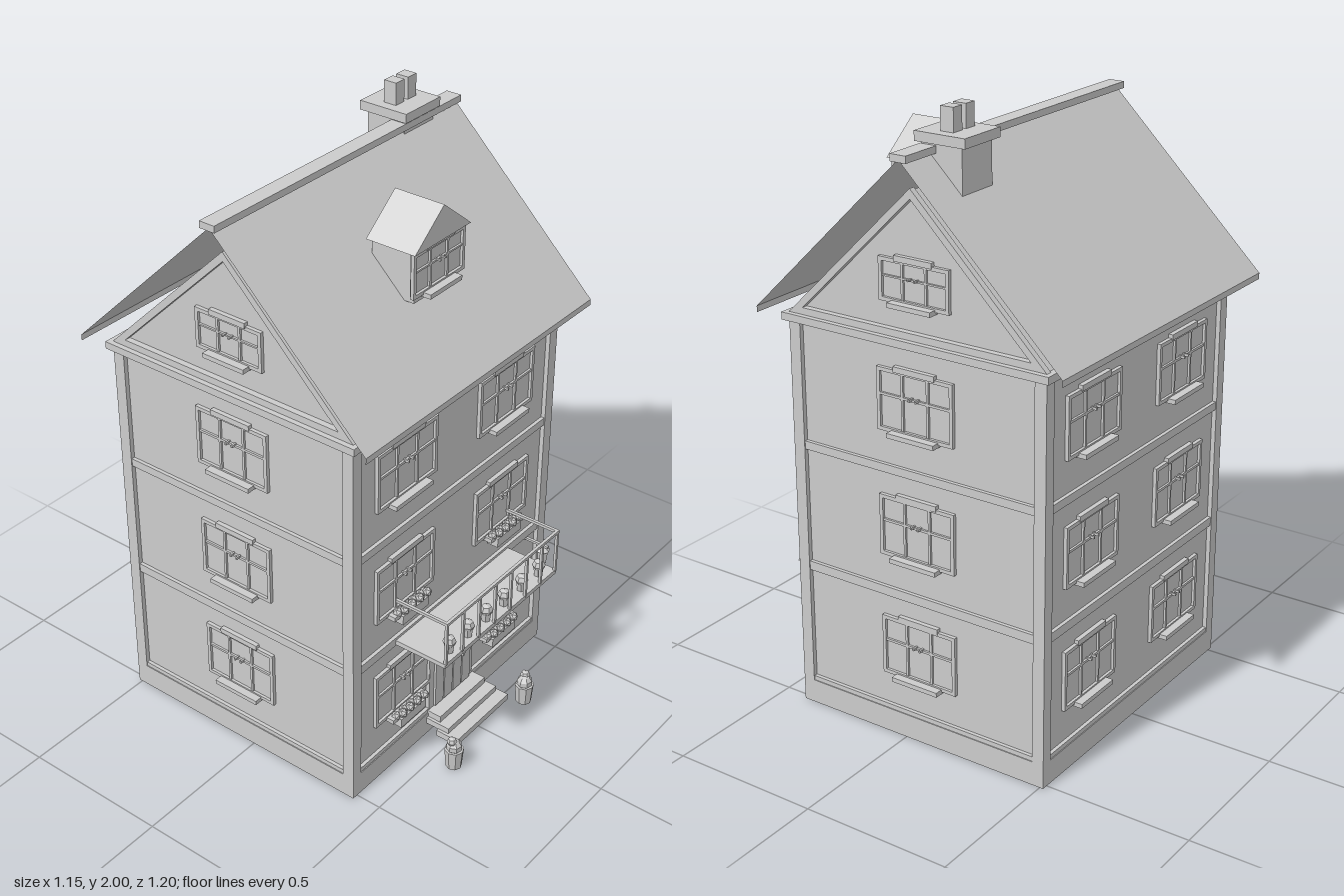
import * as THREE from 'three';

const material = new THREE.MeshStandardMaterial({ color: 0xcccccc, flatShading: true });
const thinMaterial = new THREE.MeshStandardMaterial({ color: 0xcccccc, flatShading: true, side: THREE.DoubleSide });

const MID_Z = -0.05; // middle of the house from front to back

function add(parent, name, geometry, x = 0, y = 0, z = 0, mat = material) {
  const mesh = new THREE.Mesh(geometry, mat);
  mesh.name = name;
  mesh.position.set(x, y, z);
  parent.add(mesh);
  return mesh;
}

// Box given by its lower and upper limits
function box(parent, name, x0, x1, y0, y1, z0, z1) {
  return add(parent, name, new THREE.BoxGeometry(x1 - x0, y1 - y0, z1 - z0),
    (x0 + x1) / 2, (y0 + y1) / 2, (z0 + z1) / 2);
}

function group(parent, name, x = 0, y = 0, z = 0, turn = 0) {
  const g = new THREE.Group();
  g.name = name;
  g.position.set(x, y, z);
  g.rotation.y = turn;
  parent.add(g);
  return g;
}

// Triangular prism along z, optionally hollowed to a frame
function prism(halfWidth, height, depth, border = 0) {
  const triangle = (Type, w, y0, y1) => {
    const t = new Type();
    t.moveTo(-w, y0).lineTo(w, y0).lineTo(0, y1).closePath();
    return t;
  };
  const shape = triangle(THREE.Shape, halfWidth, 0, height);
  if (border) {
    shape.holes.push(triangle(THREE.Path, halfWidth - border * 2.4, border, height - border * 1.4));
  }
  return new THREE.ExtrudeGeometry(shape, { depth, bevelEnabled: false });
}

// Window with its foot at the group origin, facing local +z
function addWindow(parent, x, y, z, turn, w = 0.29, h = 0.2) {
  const g = group(parent, 'window', x, y, z, turn);
  const c = w * 0.27; // half width of the raised middle
  box(g, 'glass', -w / 2 + 0.005, w / 2 - 0.005, 0.005, h - 0.005, -0.005, 0.003);
  for (const s of [-1, 1]) {
    box(g, 'outerStile', s * w / 2 - 0.006, s * w / 2 + 0.006, 0, h, 0, 0.012).position.x -= s * 0.006;
    box(g, 'innerStile', s * w / 6 - 0.004, s * w / 6 + 0.004, 0, h, 0, 0.01);
    box(g, 'casementHandle', s * 0.012 - 0.003, s * 0.012 + 0.003, h * 0.58, h * 0.62, 0, 0.023);
  }
  box(g, 'bottomRail', -w / 2, w / 2, 0, 0.012, 0, 0.012);
  box(g, 'topRail', -w / 2, w / 2, h - 0.012, h, 0, 0.012);
  box(g, 'crossBar', -w / 2, w / 2, h * 0.56, h * 0.6, 0, 0.01);
  box(g, 'lintel', -c, c, h - 0.006, h + 0.012, 0, 0.015);
  box(g, 'sill', -w * 0.31, w * 0.31, -0.008, 0.007, 0, 0.038);
}

function addWalls(house) {
  const g = group(house, 'walls', 0, 0, MID_Z);
  const X = 0.52, Z = 0.462;
  box(g, 'wallCore', -X + 0.015, X - 0.015, 0.01, 1.31, -Z + 0.015, Z - 0.015);
  box(g, 'plinth', -X, X, 0, 0.08, -Z, Z);
  for (const [y0, y1] of [[0.08, 0.095], [0.477, 0.507], [0.89, 0.917]]) {
    box(g, 'floorBand', -X + 0.003, X - 0.003, y0, y1, -Z + 0.003, Z - 0.003);
  }
  for (const sx of [-1, 1]) for (const sz of [-1, 1]) {
    add(g, 'cornerPost', new THREE.BoxGeometry(0.04, 1.23, 0.04), sx * (X - 0.02), 0.695, sz * (Z - 0.02));
  }
  box(g, 'cornice', -0.537, 0.537, 1.306, 1.33, -0.478, 0.478);
}

function addRoof(house) {
  const g = group(house, 'roof', 0, 0, MID_Z);
  const attic = add(g, 'gableWalls', prism(0.455, 0.445, 1.0), -0.5, 1.33);
  attic.rotation.y = Math.PI / 2;
  for (const x of [-0.52, 0.5]) {
    add(g, 'gableTrim', prism(0.462, 0.452, 0.02, 0.022), x, 1.33).rotation.y = Math.PI / 2;
  }
  // Thin roof slopes hung from the ridge
  const rise = 0.53, run = 0.545;
  for (const s of [1, -1]) {
    const slope = new THREE.PlaneGeometry(1.14, Math.hypot(rise, run));
    slope.rotateX(-Math.atan2(run, rise));
    const side = group(g, 'roofSide', 0, 0, 0, s > 0 ? 0 : Math.PI);
    add(side, 'roofSlope', slope, 0, 1.345 + rise / 2, run / 2, thinMaterial);
    add(side, 'eaveEdge', new THREE.PlaneGeometry(1.14, 0.02), 0, 1.335, run, thinMaterial);
  }
  box(g, 'ridgeCap', -0.575, 0.575, 1.868, 1.89, -0.03, 0.025);
}

function addChimney(house) {
  const g = group(house, 'chimney');
  box(g, 'chimneyStack', 0.29, 0.435, 1.66, 1.9, -0.17, -0.03);
  box(g, 'chimneyCap', 0.277, 0.45, 1.898, 1.928, -0.19, -0.015);
  for (const x of [0.332, 0.392]) box(g, 'chimneyPot', x - 0.021, x + 0.021, 1.92, 2, -0.125, -0.08);
}

function addDormer(house) {
  const g = group(house, 'dormer');
  box(g, 'dormerBody', -0.107, 0.107, 1.56, 1.738, 0.155, 0.308);
  add(g, 'dormerRoof', prism(0.136, 0.11, 0.175), 0, 1.732, 0.155);
  addWindow(g, 0, 1.582, 0.308, 0, 0.25, 0.145);
}

// Trough of flowers under a window
function addFlowerBox(house, x, y) {
  const g = group(house, 'flowerBox', x, y, 0.425);
  box(g, 'trough', -0.065, 0.065, -0.033, 0, -0.02, 0.02);
  for (let i = 0; i < 8; i++) {
    add(g, 'flower', new THREE.IcosahedronGeometry(0.016, 0), -0.066 + i * 0.019, 0.008 + (i % 2) * 0.004, (i % 2) * 0.012);
  }
}

function addBalcony(house) {
  const g = group(house, 'balcony');
  box(g, 'balconyFloor', -0.305, 0.305, 0.482, 0.498, 0.39, 0.597);
  box(g, 'frontRail', -0.305, 0.305, 0.645, 0.655, 0.59, 0.6);
  for (const s of [-1, 1]) add(g, 'sideRail', new THREE.BoxGeometry(0.01, 0.01, 0.2), s * 0.3, 0.65, 0.5);
  for (let i = 0; i < 8; i++) {
    add(g, 'baluster', new THREE.BoxGeometry(0.009, 0.155, 0.009), -0.3 + i * 0.6 / 7, 0.572, 0.595);
  }
  for (let i = 0; i < 6; i++) {
    const x = -0.245 + i * 0.098;
    add(g, 'balconyPot', new THREE.CylinderGeometry(0.018, 0.014, 0.03, 6), x, 0.513, 0.568);
    add(g, 'balconyPlant', new THREE.SphereGeometry(0.022, 6, 4), x, 0.537, 0.568);
  }
}

function addEntrance(house) {
  const door = group(house, 'door');
  box(door, 'doorFrame', -0.12, 0.118, 0.085, 0.4, 0.39, 0.41);
  for (let i = 0; i < 4; i++) {
    box(door, 'doorPlank', -0.096 + i * 0.049, -0.052 + i * 0.049, 0.095, 0.385, 0.4, 0.418);
  }
  box(door, 'doorHandle', 0.043, 0.053, 0.217, 0.234, 0.415, 0.427);

  const steps = group(house, 'steps');
  box(steps, 'topStep', -0.125, 0.125, 0.065, 0.09, 0.4, 0.46);
  box(steps, 'middleStep', -0.135, 0.135, 0.045, 0.067, 0.4, 0.5);
  box(steps, 'bottomStep', -0.145, 0.145, 0.025, 0.047, 0.46, 0.542);

  // Shallow canopy over the door with a bracket at each end
  const canopy = group(house, 'canopy');
  box(canopy, 'canopyPlate', -0.172, 0.172, 0.445, 0.456, 0.4, 0.545);
  add(canopy, 'canopyPeak', prism(0.17, 0.03, 0.125), 0, 0.454, 0.405);
  for (const s of [-1, 1]) {
    add(canopy, 'bracket', new THREE.BoxGeometry(0.015, 0.04, 0.02), s * 0.16, 0.428, 0.405);
    add(canopy, 'brace', new THREE.BoxGeometry(0.012, 0.01, 0.09), s * 0.16, 0.43, 0.45).rotation.x = -0.35;
  }

  const lantern = group(house, 'lantern', 0.425, 0, 0.47);
  box(lantern, 'lanternArm', -0.005, 0.005, 0.462, 0.47, -0.075, 0.02);
  add(lantern, 'lanternHood', new THREE.CylinderGeometry(0.006, 0.025, 0.015, 6), 0, 0.455);
  add(lantern, 'lanternGlass', new THREE.CylinderGeometry(0.02, 0.015, 0.048, 6), 0, 0.424);

  for (const s of [-1, 1]) {
    const pot = group(house, 'planter', s * 0.2, 0, 0.57);
    add(pot, 'planterPot', new THREE.CylinderGeometry(0.032, 0.026, 0.07, 8), 0, 0.035);
    add(pot, 'planterBush', new THREE.SphereGeometry(0.027, 7, 5), 0, 0.08);
    add(pot, 'planterTop', new THREE.SphereGeometry(0.017, 6, 4), s * 0.008, 0.102, -0.004);
  }
}

export function createModel() {
  const house = new THREE.Group();
  house.name = 'townHouse';
  addWalls(house);
  addRoof(house);
  addChimney(house);
  addDormer(house);

  // Three storeys of windows on all four walls
  for (const y of [0.205, 0.615, 1.025]) {
    for (const s of [-1, 1]) {
      addWindow(house, s * 0.255, y, 0.397, 0);
      addWindow(house, s * 0.255, y, -0.497, Math.PI);
      addWindow(house, s * 0.505, y, MID_Z, s * Math.PI / 2, 0.275);
    }
  }
  for (const s of [-1, 1]) {
    addWindow(house, s * 0.5, 1.43, MID_Z, s * Math.PI / 2, 0.25, 0.133);
    for (const y of [0.203, 0.616]) addFlowerBox(house, s * 0.252, y);
  }
  addBalcony(house);
  addEntrance(house);
  return house;
}
